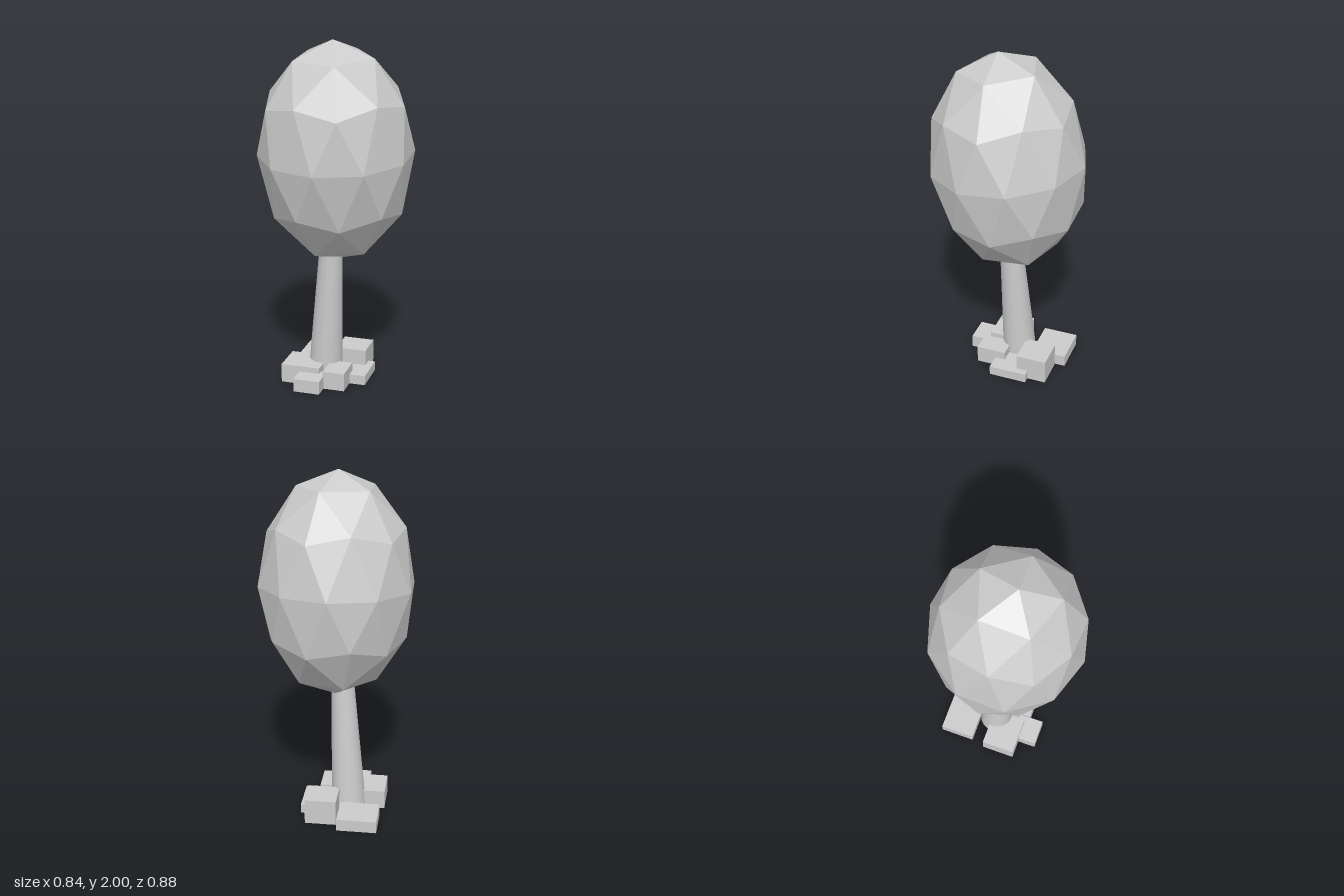
import * as THREE from 'three';

const grey = (options = {}) => new THREE.MeshStandardMaterial({ color: 0xcccccc, ...options });

function addMesh(parent, name, geometry, material) {
  const mesh = new THREE.Mesh(geometry, material);
  mesh.name = name;
  parent.add(mesh);
  return mesh;
}

// Faceted egg: an icosphere with one corner pointing up, stretched, then tilted forward
function crownGeometry() {
  const geometry = new THREE.IcosahedronGeometry(1, 1);
  geometry.rotateZ(-Math.atan(2 / (1 + Math.sqrt(5))));
  geometry.scale(0.442, 0.638, 0.442);
  geometry.rotateX(0.094);
  geometry.translate(0, 1.365, 0);
  geometry.computeVertexNormals();
  return geometry;
}

// Tapered trunk whose centre line leans from the base to the top
function trunkGeometry(bottom, top) {
  const height = top.y - bottom.y;
  const geometry = new THREE.CylinderGeometry(top.r, bottom.r, height, 20, 1, true);
  geometry.translate(0, height / 2, 0);
  const lean = new THREE.Matrix4().set(
    1, (top.x - bottom.x) / height, 0, bottom.x,
    0, 1, 0, bottom.y,
    0, (top.z - bottom.z) / height, 1, bottom.z,
    0, 0, 0, 1
  );
  geometry.applyMatrix4(lean);
  geometry.computeVertexNormals();
  return geometry;
}

// Block standing on the ground with no underside
function blockGeometry(x0, x1, z0, z1, height) {
  const geometry = new THREE.BoxGeometry(x1 - x0, height, z1 - z0);
  const index = Array.from(geometry.index.array);
  index.splice(18, 6);
  geometry.clearGroups();
  geometry.setIndex(index);
  geometry.translate((x0 + x1) / 2, height / 2, (z0 + z1) / 2);
  return geometry;
}

export function createModel() {
  const tree = new THREE.Group();
  tree.name = 'tree';

  addMesh(tree, 'crown', crownGeometry(), grey({ flatShading: true }));

  addMesh(tree, 'trunk', trunkGeometry(
    { x: -0.077, y: 0.03, z: -0.045, r: 0.1 },
    { x: -0.03, y: 0.84, z: -0.001, r: 0.064 }
  ), grey({ side: THREE.DoubleSide }));

  // Ring of stone blocks around the foot: x range, z range, height
  const stones = new THREE.Group();
  stones.name = 'baseStones';
  tree.add(stones);
  const stoneMaterial = grey({ side: THREE.DoubleSide });
  const blocks = {
    rightStone: [-0.29, -0.06, -0.06, 0.14, 0.11],
    frontRightStone: [-0.18, -0.026, 0.1, 0.25, 0.077],
    frontLeftStone: [-0.03, 0.097, -0.01, 0.165, 0.105],
    leftStone: [0.02, 0.19, -0.175, 0.05, 0.056],
    backLeftStone: [-0.03, 0.15, -0.285, -0.105, 0.147],
    backRightStone: [-0.27, -0.04, -0.345, -0.14, 0.07],
  };
  for (const [name, size] of Object.entries(blocks)) {
    addMesh(stones, name, blockGeometry(...size), stoneMaterial);
  }

  return tree;
}
